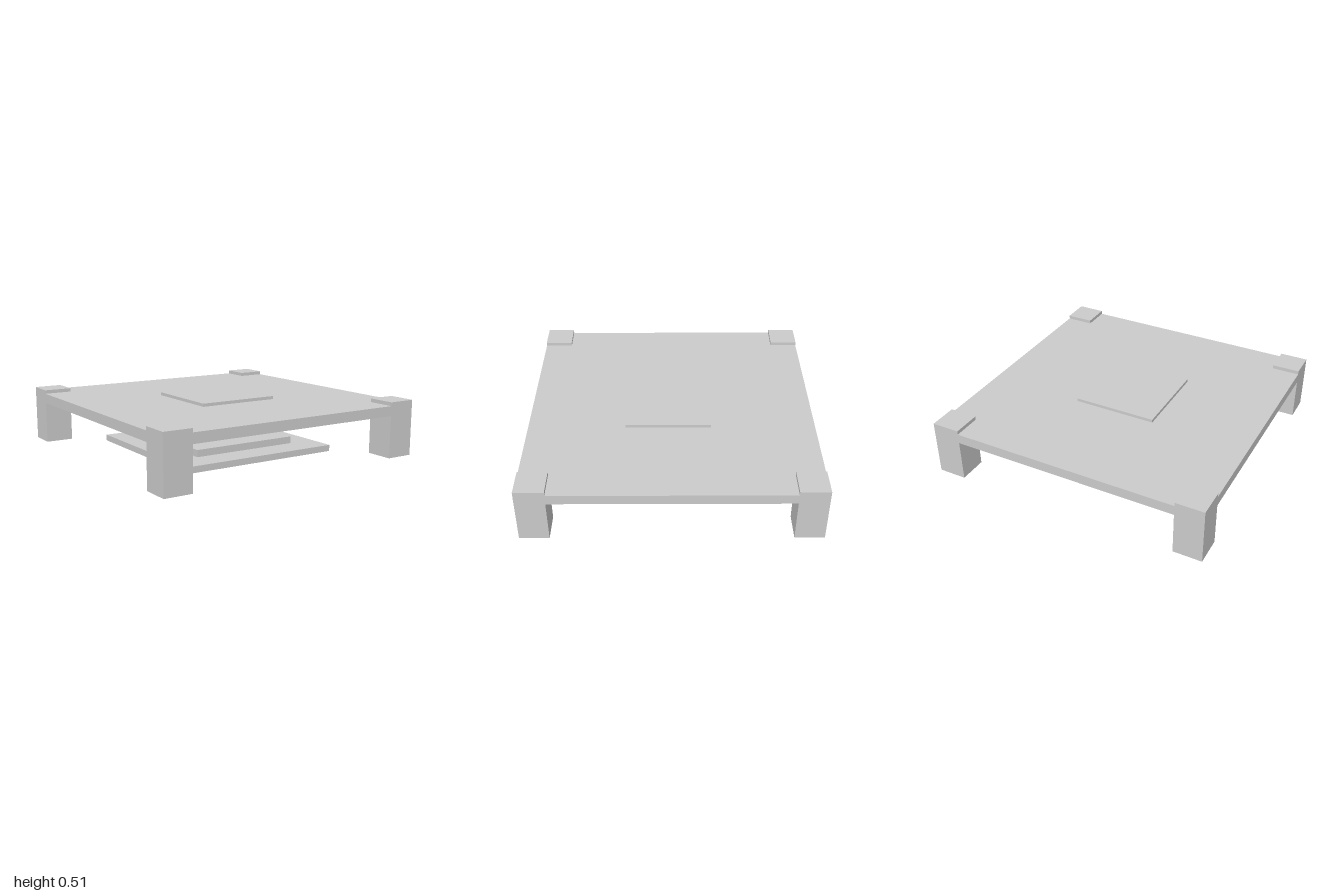
import * as THREE from 'three';

export function createModel() {
  const model = new THREE.Group();
  const grey = new THREE.MeshStandardMaterial({ color: 0xcccccc, flatShading: true });
  const thin = grey.clone();
  thin.side = THREE.DoubleSide;

  // Square slab of the given width, spanning y0 to y1
  const block = (name, width, y0, y1, x = 0, z = 0) => {
    const mesh = new THREE.Mesh(new THREE.BoxGeometry(width, y1 - y0, width), grey);
    mesh.name = name;
    mesh.position.set(x, (y0 + y1) / 2, z);
    model.add(mesh);
  };

  // Main deck and the plate set through its middle
  block('deck', 2, 0.415, 0.485);
  block('centrePlate', 0.595, 0.365, 0.507, -0.003, 0.023);

  // Corner legs
  for (const x of [-1, 1]) {
    for (const z of [-1, 1]) {
      const name = (z > 0 ? 'front' : 'back') + (x > 0 ? 'Left' : 'Right') + 'Leg';
      block(name, 0.2, 0.115, 0.511, x * 0.9, z * 0.9);
    }
  }

  // Stepped base below the deck
  block('upperStep', 0.8, 0.16, 0.21);
  block('lowerStep', 1.2, 0.115, 0.16);

  // Hollow square stem: open, thin-walled four-sided tube
  const tube = new THREE.CylinderGeometry(0.275 / Math.SQRT2, 0.275 / Math.SQRT2, 0.365, 4, 1, true);
  tube.rotateY(Math.PI / 4);
  const stem = new THREE.Mesh(tube, thin);
  stem.name = 'stem';
  stem.position.set(-0.002, 0.1825, 0.002);
  model.add(stem);

  return model;
}
